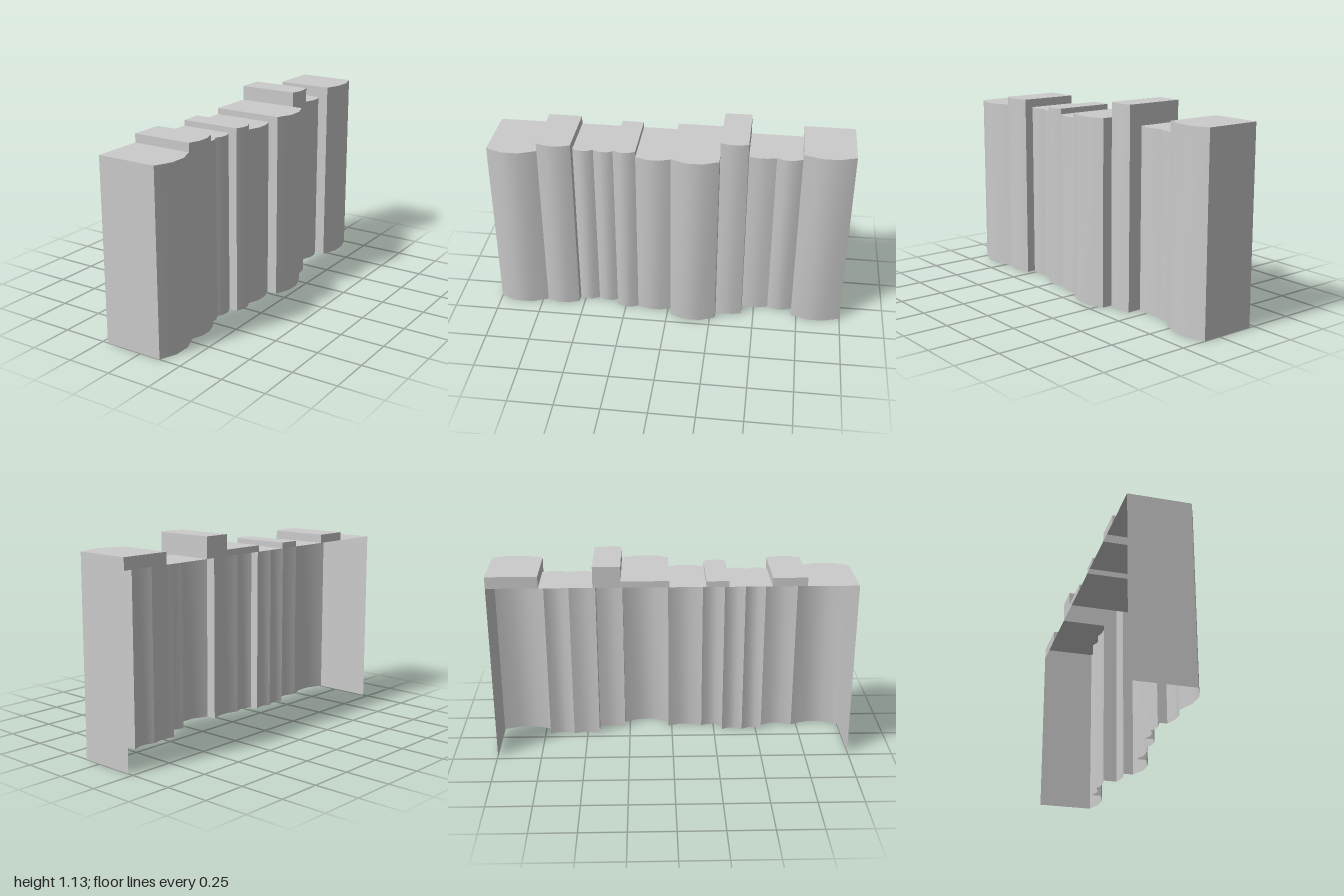
import * as THREE from 'three';

const BACK = -0.217, SHELF = 1.015;

// Each book: z start, z end, height, spine edge x, spine peak x
const BOOKS = [
  [1.0, 0.72, SHELF, 0.122, 0.16],
  [0.72, 0.532, 1.063, 0.122, 0.144],
  [0.532, 0.418, SHELF, 0.072, 0.09],
  [0.418, 0.3, SHELF, 0.072, 0.09],
  [0.3, 0.178, 1.047, 0.122, 0.14],
  [0.178, -0.02, SHELF, 0.122, 0.145],
  [-0.02, -0.28, 1.05, 0.18, 0.215],
  [-0.28, -0.43, 1.132, 0.122, 0.135],
  [-0.43, -0.58, SHELF, 0.042, 0.054],
  [-0.58, -0.72, SHELF, 0.042, 0.06],
  [-0.72, -1.0, 1.08, 0.103, 0.134],
].map(([z0, z1, h, edge, peak]) => ({ z0, z1, h, edge, peak }));

const material = new THREE.MeshStandardMaterial({ color: 0xcccccc, side: THREE.DoubleSide });

function add(group, name, geometry) {
  const mesh = new THREE.Mesh(geometry, material);
  mesh.name = name;
  group.add(mesh);
}

// Upright wall across x, facing +z (dir 1) or -z (dir -1)
function wall(x0, x1, y0, y1, z, dir) {
  const g = new THREE.PlaneGeometry(x1 - x0, y1 - y0);
  if (dir < 0) g.rotateY(Math.PI);
  return g.translate((x0 + x1) / 2, (y0 + y1) / 2, z);
}

// Spine bowed outwards in three smooth strips
function spine({ z0, z1, h, edge, peak }) {
  const g = new THREE.PlaneGeometry(z0 - z1, h, 3, 1).rotateY(Math.PI / 2);
  const p = g.attributes.position;
  for (let i = 0; i < p.count; i++) {
    p.setX(i, Math.abs(p.getZ(i)) > (z0 - z1) * 0.4 ? edge : peak);
  }
  g.computeVertexNormals();
  return g.translate(0, h / 2, (z0 + z1) / 2);
}

// Flat top following the spine outline
function top({ z0, z1, h, edge, peak }) {
  const third = (z0 - z1) / 3;
  const outline = [[BACK, z0], [edge, z0], [peak, z0 - third], [peak, z1 + third], [edge, z1], [BACK, z1]];
  const shape = new THREE.Shape(outline.map(([x, z]) => new THREE.Vector2(x, -z)));
  return new THREE.ShapeGeometry(shape).rotateX(-Math.PI / 2).translate(0, h, 0);
}

// The part of a book's cover left exposed by its neighbour
function addCover(group, book, neighbour, z, dir) {
  const nh = neighbour ? neighbour.h : 0;
  const ne = neighbour ? neighbour.edge : BACK;
  if (book.h > nh) add(group, 'cover', wall(BACK, book.edge, nh, book.h, z, dir));
  if (neighbour && book.edge > ne) {
    add(group, 'coverEdge', wall(ne, book.edge, 0, Math.min(book.h, nh), z, dir));
  }
}

export function createModel() {
  const model = new THREE.Group();
  model.name = 'bookRow';
  BOOKS.forEach((book, i) => {
    const group = new THREE.Group();
    group.name = `book${i + 1}`;
    add(group, 'spine', spine(book));
    add(group, 'top', top(book));
    addCover(group, book, BOOKS[i - 1], book.z0, 1);
    addCover(group, book, BOOKS[i + 1], book.z1, -1);
    // Lip closing the back of books that stand above the rest
    if (book.h > SHELF) {
      const lip = new THREE.PlaneGeometry(book.z0 - book.z1, book.h - SHELF).rotateY(-Math.PI / 2);
      add(group, 'backLip', lip.translate(BACK, (book.h + SHELF) / 2, (book.z0 + book.z1) / 2));
    }
    model.add(group);
  });
  return model;
}
